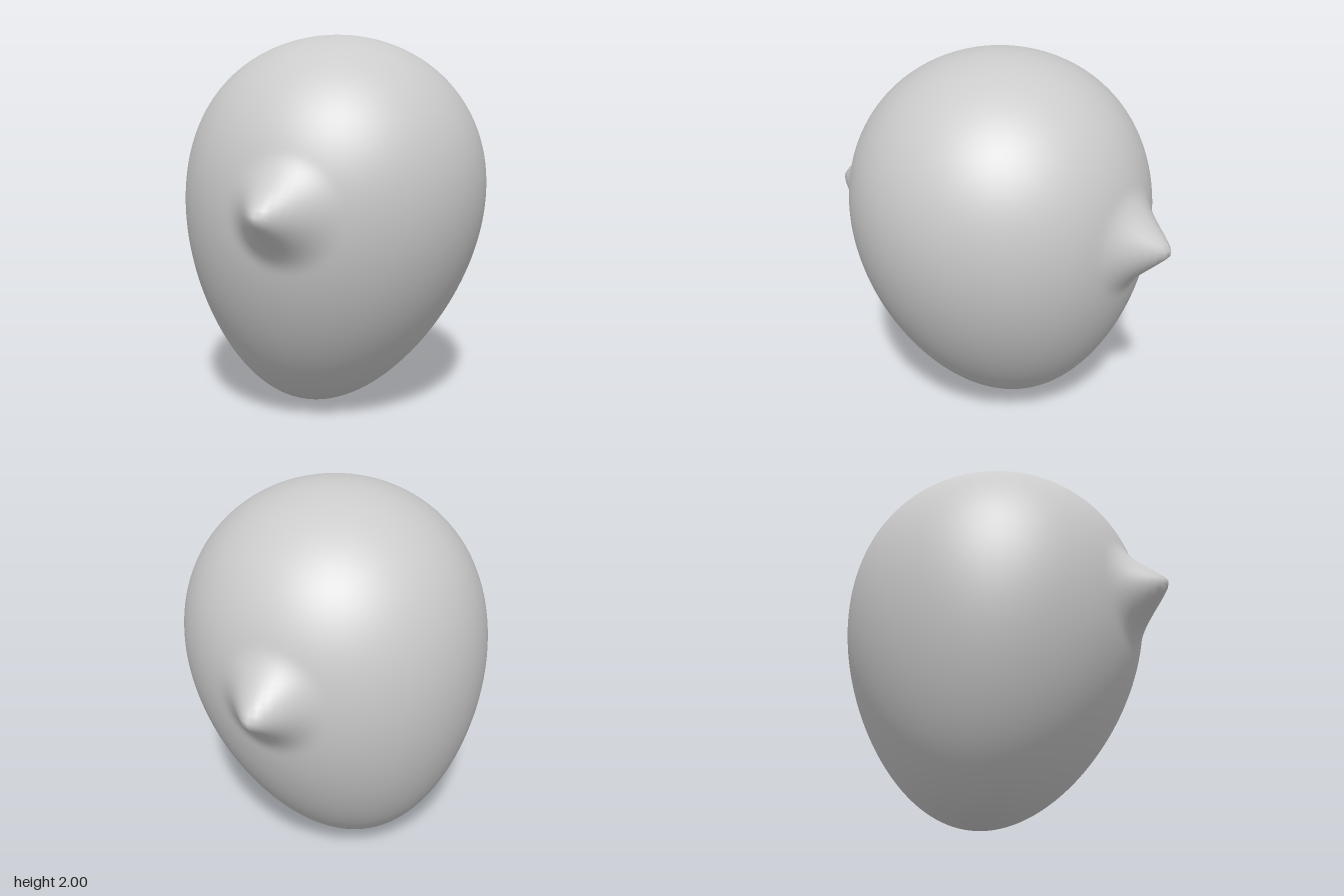
import * as THREE from 'three';
import { mergeVertices } from 'three/addons/utils/BufferGeometryUtils.js';

// pointed bumps, pushed out along z: position, side and height
const BUMPS = [
  { x: 0.155, y: 1.155, side: 1, height: 0.205 },
  { x: 0, y: 1.155, side: -1, height: 0.2 },
];
const BUMP_RADIUS = 0.29;

// pointed tip that fades softly into the body
function bumpHeight(bump, x, y) {
  const t = Math.hypot(x - bump.x, y - bump.y) / BUMP_RADIUS;
  return t < 1 ? bump.height * (1 - t ** 1.4) ** 2.2 : 0;
}

export function createModel() {
  const group = new THREE.Group();
  group.name = 'eggWithBumps';

  // unit sphere, welded at its seam and poles
  let geometry = new THREE.SphereGeometry(1, 160, 112);
  geometry.deleteAttribute('uv');
  geometry.deleteAttribute('normal');
  geometry = mergeVertices(geometry, 1e-4);

  const pos = geometry.attributes.position;
  for (let i = 0; i < pos.count; i++) {
    const y = pos.getY(i) + 1;
    // egg taper towards the base, whose tip leans to -x
    const width = 0.65 + 0.14 * y;
    const lean = 0.008 - 0.14 * Math.max(0, 1 - y / 1.6) ** 2;
    const x = pos.getX(i) * width + lean;
    let z = pos.getZ(i) * width;
    for (const bump of BUMPS) {
      if (z * bump.side > 0.3) z += bump.side * bumpHeight(bump, x, y);
    }
    pos.setXYZ(i, x, y, z);
  }
  geometry.computeVertexNormals();

  const body = new THREE.Mesh(geometry, new THREE.MeshStandardMaterial({ color: 0xcccccc }));
  body.name = 'body';
  group.add(body);
  return group;
}
